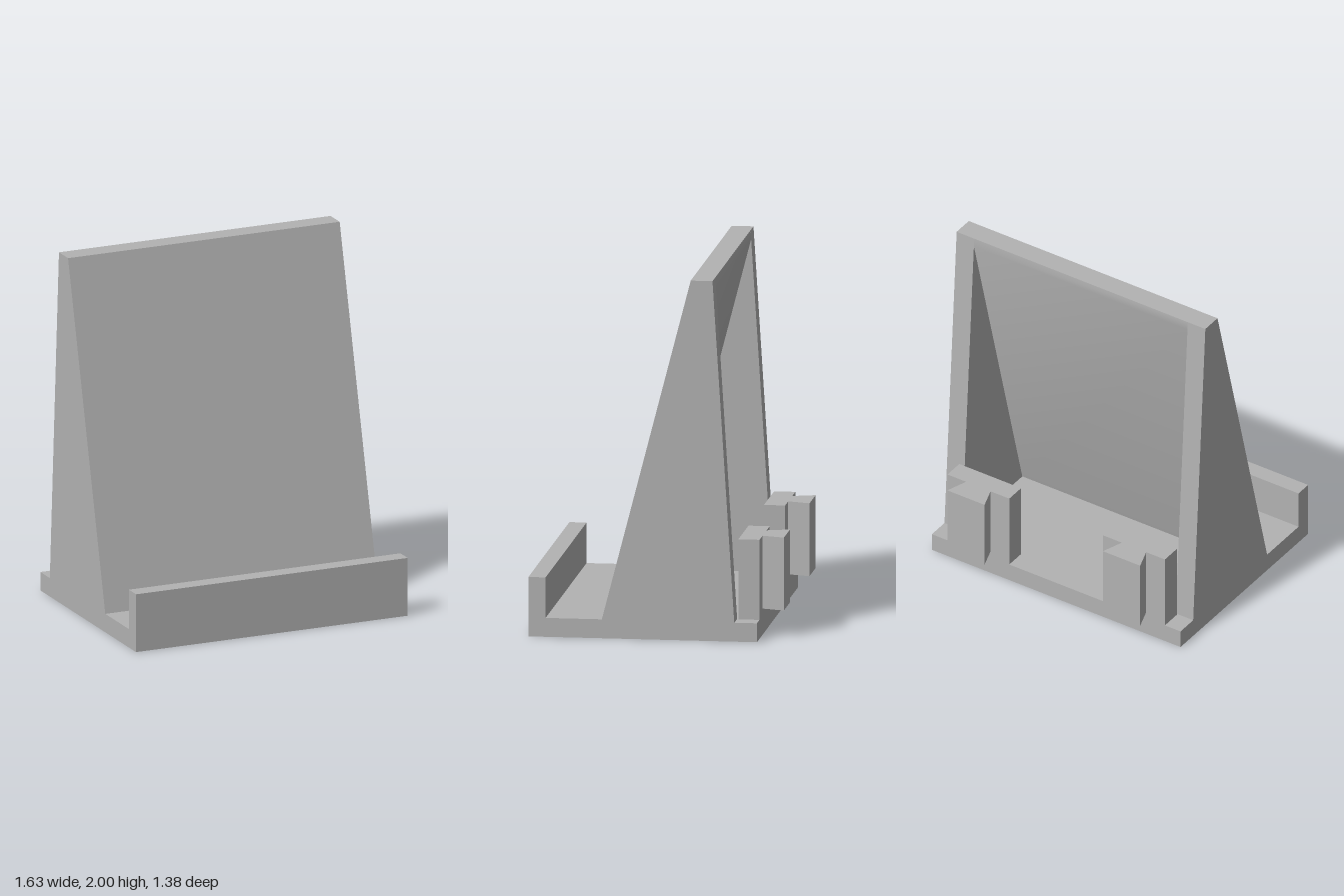
import * as THREE from 'three';
import { toCreasedNormals } from 'three/addons/utils/BufferGeometryUtils.js';

const HALF = 0.815; // half width of the stand
const INNER = 0.7; // inner face of the side walls

export function createModel() {
  const group = new THREE.Group();
  const grey = new THREE.MeshStandardMaterial({ color: 0xb2b2b2 });
  grey.name = 'grey plastic';

  const add = (name, geometry) => {
    const mesh = new THREE.Mesh(geometry, grey);
    mesh.name = name;
    group.add(mesh);
  };

  // Side profile given as [z, y] points, extruded across x
  const acrossX = (points, x0, x1) => {
    const shape = new THREE.Shape(points.map(([z, y]) => new THREE.Vector2(-z, y)));
    return new THREE.ExtrudeGeometry(shape, { depth: x1 - x0, bevelEnabled: false })
      .rotateY(Math.PI / 2).translate(x0, 0, 0);
  };

  // Plan outline given as [x, z] points, extruded upwards
  const upwards = (points, y0, y1) => {
    const shape = new THREE.Shape(points.map(([x, z]) => new THREE.Vector2(x, -z)));
    return new THREE.ExtrudeGeometry(shape, { depth: y1 - y0, bevelEnabled: false })
      .rotateX(-Math.PI / 2).translate(0, y0, 0);
  };

  // Base tray with the front lip
  add('baseWithLip', acrossX([
    [0.69, 0], [0.69, 0.33], [0.595, 0.33], [0.595, 0.105],
    [-0.57, 0.105], [-0.57, 0],
  ], -HALF, HALF));

  // Leaning back rest, with a soft crease near the top of its rear face
  add('backRest', toCreasedNormals(acrossX([
    [0.285, 0.105], [-0.205, 2], [-0.325, 2], [-0.328, 1.95], [0.15, 0.105],
  ], -INNER, INNER), 0.45));

  for (const side of [-1, 1]) {
    const label = side > 0 ? 'left' : 'right';

    // Solid side wall
    add(label + 'SideWall', acrossX(
      [[0.285, 0.105], [-0.205, 2], [-0.325, 2], [-0.445, 0.105]],
      side > 0 ? INNER : -HALF, side > 0 ? HALF : -INNER));

    // Upright mounting block on the rear edge
    const block = new THREE.BoxGeometry(0.405, 0.445, 0.117);
    block.translate(side * 0.51, 0.3275, -0.5115);
    add(label + 'MountBlock', block);

    // Dovetail rail behind the block
    add(label + 'Dovetail', upwards([
      [0.43, -0.57], [0.59, -0.57], [0.632, -0.693], [0.388, -0.693],
    ].map(([x, z]) => [side * x, z]), 0.145, 0.55));
  }
  return group;
}
